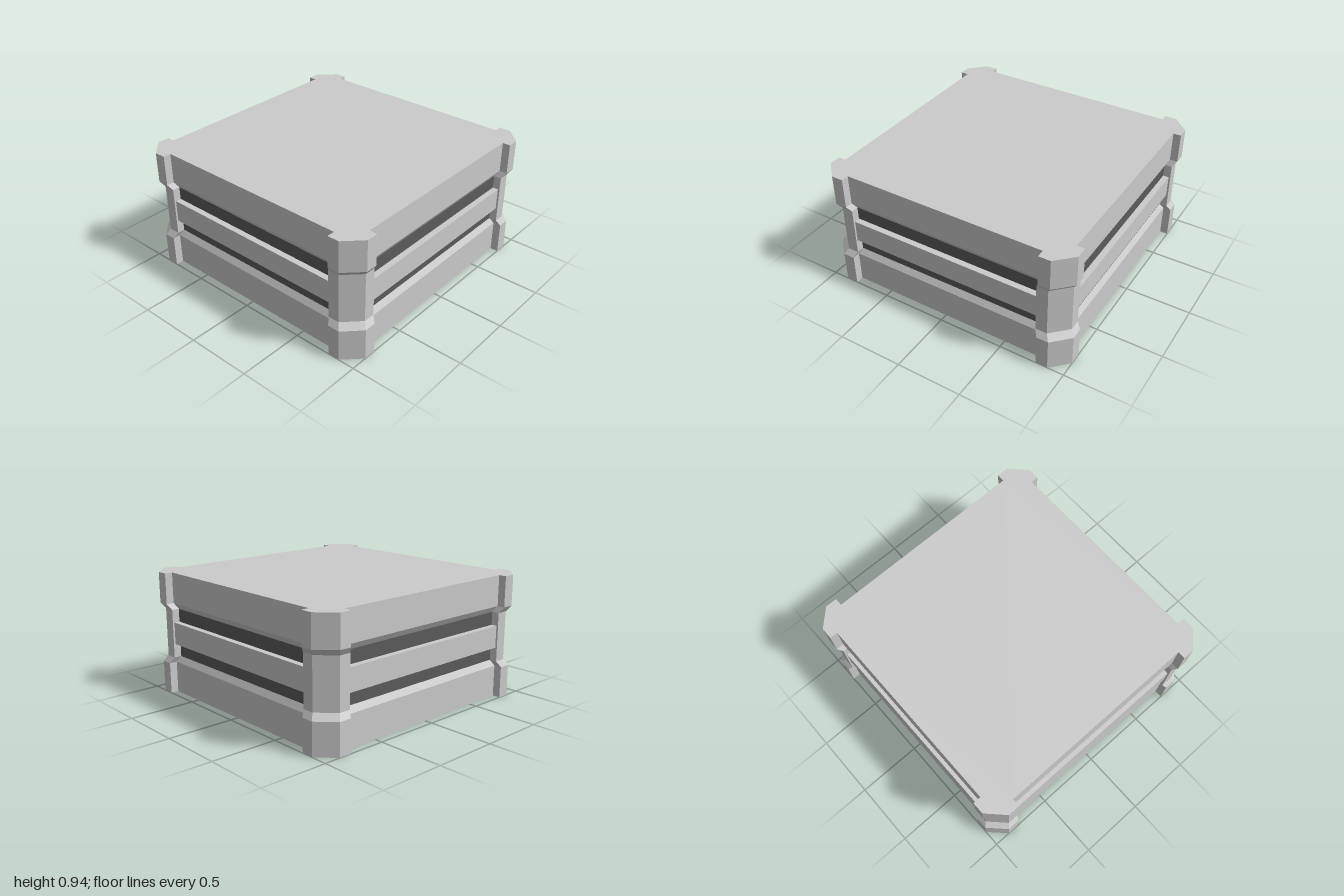
import * as THREE from 'three';

const grey = new THREE.MeshStandardMaterial({ color: 0xcccccc, flatShading: true });
const dark = new THREE.MeshStandardMaterial({ color: 0x5c5c5c, flatShading: true });

// Plan outline: one chamfered corner post, turned four times; walls sit between posts
const corner = [[0.94, 0.785], [1, 0.785], [1, 0.875], [0.875, 1], [0.785, 1], [0.785, 0.94]];
const outline = [];
for (let q = 0; q < 4; q++) {
  for (const [x, y] of corner) {
    outline.push(new THREE.Vector2(x, y).rotateAround(new THREE.Vector2(), q * Math.PI / 2));
  }
}

// Height and scale of each level: the waist is pulled in
const levels = [[0, 1], [0.24, 1], [0.285, 0.97], [0.66, 0.97], [0.705, 1], [0.94, 1]];
const WAIST = 2;

function point(i, level) {
  const p = outline[i % outline.length];
  const [y, s] = levels[level];
  return [p.x * s, y, -p.y * s];
}

function meshFrom(positions, material, name) {
  const geo = new THREE.BufferGeometry();
  geo.setAttribute('position', new THREE.Float32BufferAttribute(positions, 3));
  geo.computeVertexNormals();
  const mesh = new THREE.Mesh(geo, material);
  mesh.name = name;
  return mesh;
}

export function createModel() {
  const group = new THREE.Group();
  group.name = 'crate';

  // Side faces; the waist stretches between posts become dark recessed panels
  const shell = [], recess = [];
  for (let l = 0; l < levels.length - 1; l++) {
    for (let i = 0; i < outline.length; i++) {
      const a = point(i, l), b = point(i + 1, l), c = point(i + 1, l + 1), d = point(i, l + 1);
      const target = l === WAIST && i % 6 === 5 ? recess : shell;
      target.push(...a, ...b, ...c, ...a, ...c, ...d);
    }
  }
  group.add(meshFrom(shell, grey, 'shell'), meshFrom(recess, dark, 'recessedPanels'));

  // Lid and base
  const capShape = new THREE.Shape(outline);
  const lid = new THREE.Mesh(new THREE.ShapeGeometry(capShape).rotateX(-Math.PI / 2), grey);
  lid.position.y = 0.94;
  lid.name = 'lid';
  const base = new THREE.Mesh(new THREE.ShapeGeometry(capShape).rotateX(Math.PI / 2), grey);
  base.name = 'base';
  group.add(lid, base);

  // One raised slat across the middle of each side
  const slatGeo = new THREE.BoxGeometry(1.52, 0.17, 0.057).translate(0, 0.475, 0.9285);
  for (let s = 0; s < 4; s++) {
    const slat = new THREE.Mesh(slatGeo, grey);
    slat.rotation.y = s * Math.PI / 2;
    slat.name = 'slat';
    group.add(slat);
  }
  return group;
}
